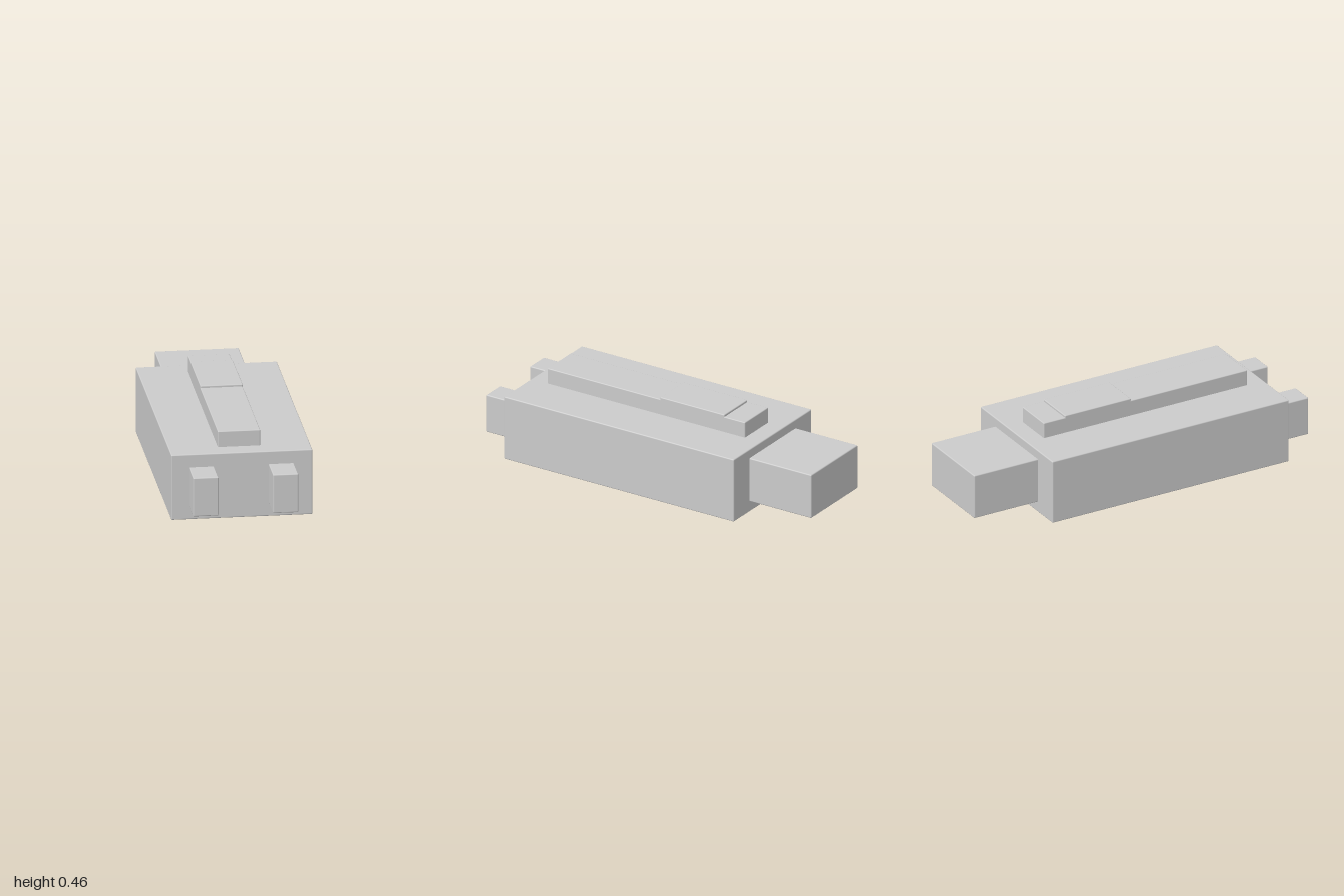
import * as THREE from 'three';
import { RoundedBoxGeometry } from 'three/addons/geometries/RoundedBoxGeometry.js';

const material = new THREE.MeshStandardMaterial({ color: 0xcccccc });

// Softly edged block given by its [min, max] extents on each axis
function block(name, [x0, x1], [y0, y1], [z0, z1], radius = 0.006) {
  const geometry = new RoundedBoxGeometry(x1 - x0, y1 - y0, z1 - z0, 2, radius);
  const mesh = new THREE.Mesh(geometry, material);
  mesh.name = name;
  mesh.position.set((x0 + x1) / 2, (y0 + y1) / 2, (z0 + z1) / 2);
  return mesh;
}

export function createModel() {
  const model = new THREE.Group();
  model.name = 'slideSwitchBody';

  // Main housing
  model.add(block('housing', [-0.375, 0.375], [0, 0.36], [-0.613, 0.825]));

  // Rear plug
  model.add(block('rearPlug', [-0.224, 0.224], [0.06, 0.31], [-1, -0.6]));

  // Raised rail along the top, with a slightly taller slider on it
  model.add(block('topRail', [-0.112, 0.112], [0.35, 0.447], [-0.512, 0.725], 0.005));
  model.add(block('topSlider', [-0.112, 0.112], [0.35, 0.459], [-0.383, 0.018], 0.005));

  // Pair of front prongs
  for (const [name, x] of [['leftProng', 0.211], ['rightProng', -0.211]]) {
    model.add(block(name, [x - 0.067, x + 0.067], [0.074, 0.288], [0.81, 1]));
  }

  return model;
}
